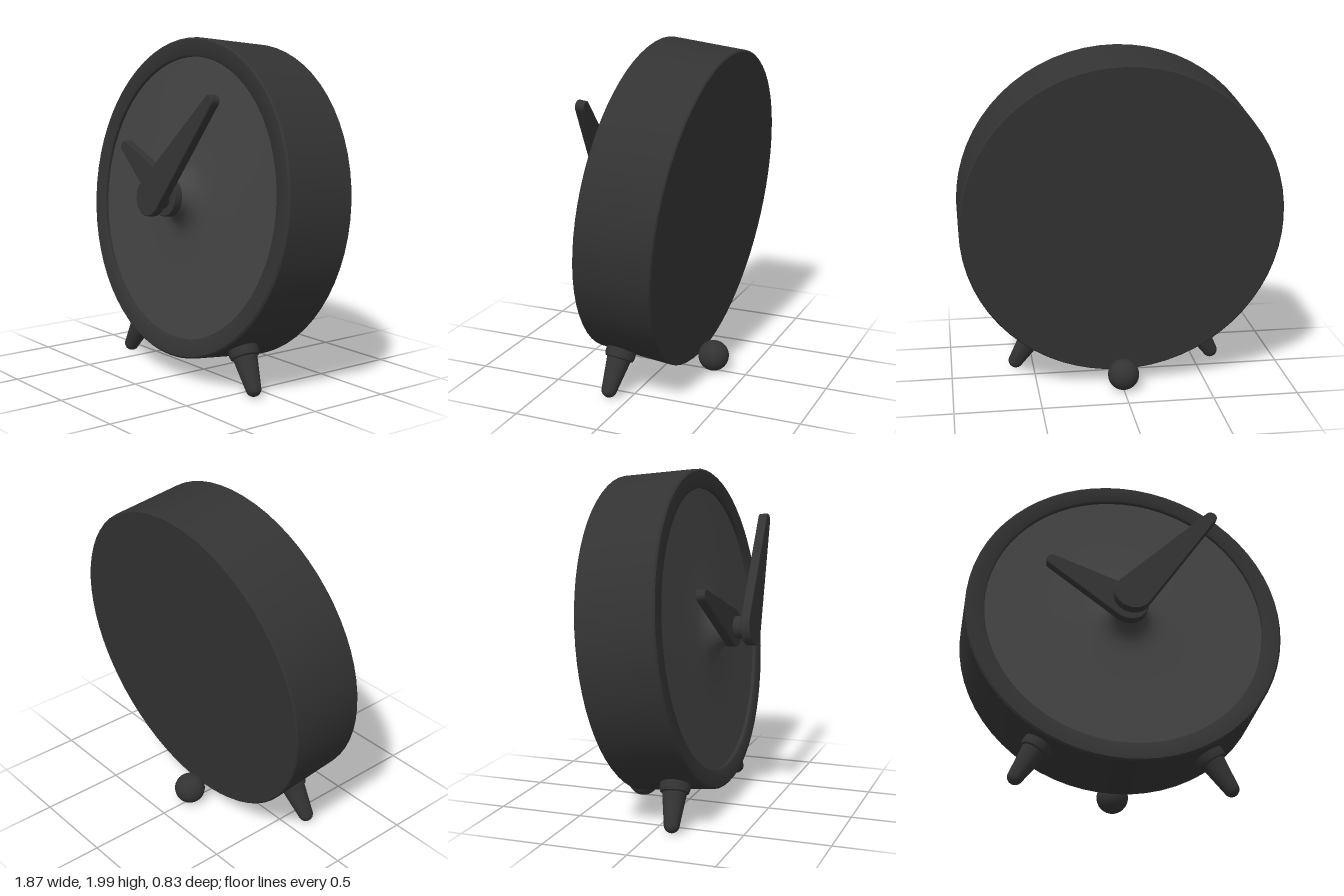
import * as THREE from 'three';
import { toCreasedNormals } from 'three/addons/utils/BufferGeometryUtils.js';

const TILT = -0.112;
const dark = new THREE.MeshStandardMaterial({ color: 0x333333 });
const dialGrey = new THREE.MeshStandardMaterial({ color: 0x444444 });

function mesh(name, geometry, material = dark) {
  const m = new THREE.Mesh(geometry, material);
  m.name = name;
  return m;
}

// Turned part from [radius, height] pairs, listed from bottom to top
function turned(profile, segments) {
  const points = profile.map(([r, h]) => new THREE.Vector2(r, h));
  return toCreasedNormals(new THREE.LatheGeometry(points, segments), 0.7);
}

// Tapered hand with two round ends, pointing from the dial centre to (x, y)
function hand(name, x, y, z) {
  const R = 0.11, r = 0.035, thickness = 0.055, bevel = 0.004;
  const length = Math.hypot(x, y);
  const a = Math.asin((R - r) / length);
  const shape = new THREE.Shape();
  shape.absarc(0, 0, R - bevel, Math.PI - a, 2 * Math.PI + a, false);
  shape.absarc(0, length, r - bevel, a, Math.PI - a, false);
  const geometry = new THREE.ExtrudeGeometry(shape, {
    depth: thickness - 2 * bevel, curveSegments: 20,
    bevelEnabled: true, bevelSize: bevel, bevelThickness: bevel, bevelSegments: 1,
  });
  geometry.translate(0, 0, bevel - thickness / 2);
  const m = mesh(name, toCreasedNormals(geometry, 0.6));
  m.rotation.z = Math.atan2(-x, y);
  m.position.z = z;
  return m;
}

export function createModel() {
  const model = new THREE.Group();
  model.name = 'tableClock';

  // Everything but the rear ball leans back together
  const clock = new THREE.Group();
  clock.name = 'leaningClock';
  clock.position.set(0, 1.0425, -0.075);
  clock.rotation.x = TILT;
  model.add(clock);

  // Drum with closed back and raised front rim
  const drum = mesh('drum', turned([
    [0, -0.231], [0.928, -0.231], [0.936, -0.223], [0.936, 0.221],
    [0.926, 0.231], [0.835, 0.231], [0.825, 0.223], [0.825, 0.195],
  ], 64));
  drum.rotation.x = Math.PI / 2;

  // Dial flaring forward into the hub
  const dial = mesh('dial', turned([
    [0.83, 0.205], [0.5, 0.207], [0.25, 0.211], [0.19, 0.22], [0.155, 0.236],
    [0.128, 0.258], [0.109, 0.283], [0.1, 0.315], [0, 0.315],
  ], 64), dialGrey);
  dial.rotation.x = Math.PI / 2;

  // Shaft and hands
  const shaft = mesh('shaft', new THREE.CylinderGeometry(0.065, 0.065, 0.13, 32));
  shaft.rotation.x = Math.PI / 2;
  shaft.position.z = 0.375;
  clock.add(drum, dial, shaft,
    hand('hourHand', -0.45, 0.257, 0.341),
    hand('minuteHand', 0.485, 0.58, 0.457));

  // Front feet: collar, then a tapered leg with a round tip
  const footProfile = [[0, 0.86], [0.088, 0.86], [0.088, 0.965], [0.082, 0.985], [0.07, 0.99]];
  for (let i = 0; i <= 6; i++) {
    const t = (i / 6) * Math.PI / 2;
    footProfile.push([0.045 * Math.cos(t), 1.172 + 0.045 * Math.sin(t)]);
  }
  const footGeometry = turned(footProfile, 32);
  for (const side of [1, -1]) {
    const foot = mesh(side > 0 ? 'leftFoot' : 'rightFoot', footGeometry);
    foot.rotation.z = Math.PI + side * 0.545;
    foot.position.z = 0.075;
    clock.add(foot);
  }

  // Ball that props up the back
  const ball = mesh('rearBall', new THREE.SphereGeometry(0.092, 32, 20));
  ball.position.set(0, 0.097, -0.295);
  model.add(ball);

  return model;
}
